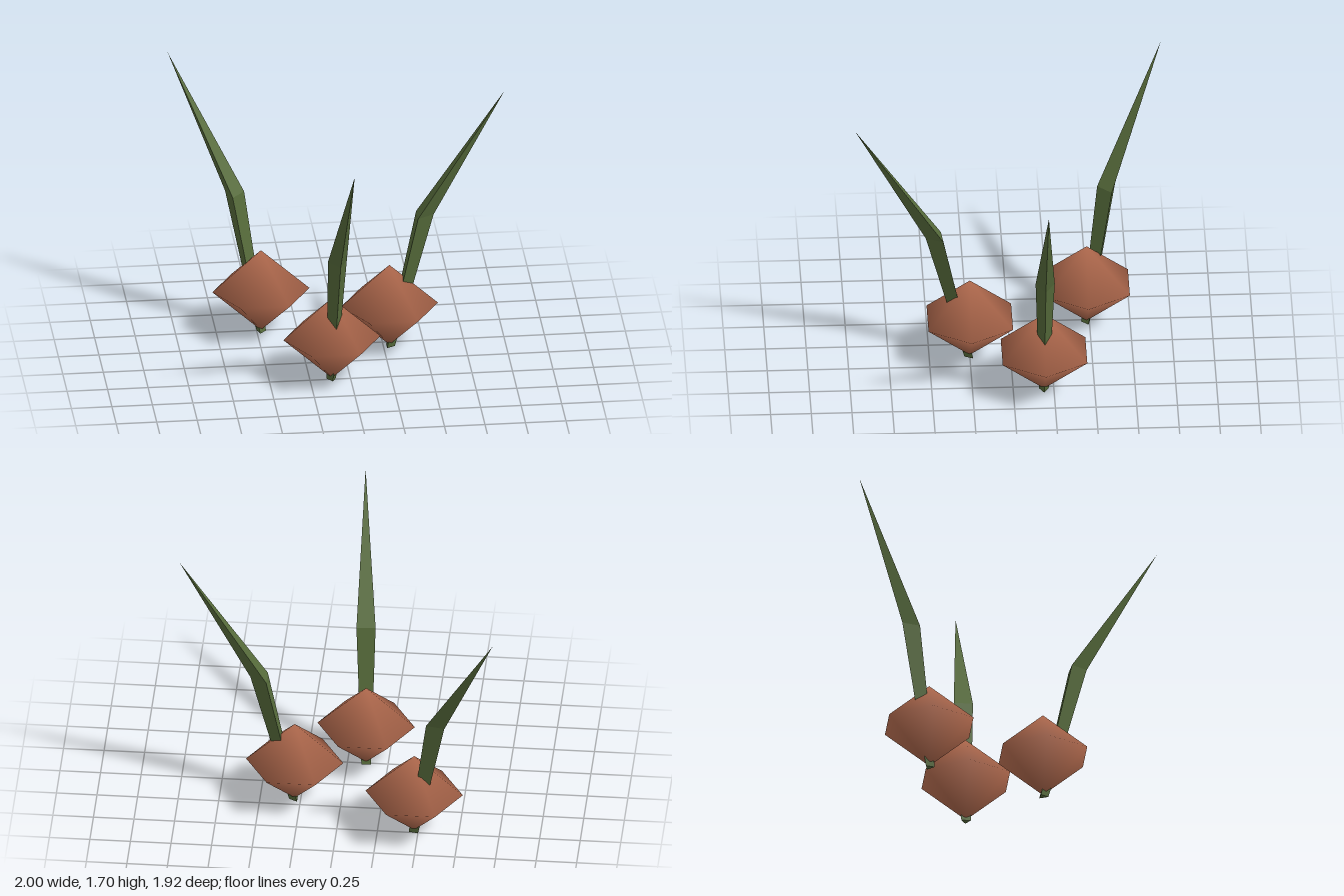
import * as THREE from 'three';

const bulbSkin = new THREE.MeshStandardMaterial({ color: 0xb0694d });
bulbSkin.name = 'bulb brown';
const leafGreen = new THREE.MeshStandardMaterial({ color: 0x566b3b, flatShading: true });
leafGreen.name = 'leaf green';

// Three-sided leaf: rises through the bulb, bends outward (+z) and ends in a point
function leafGeometry() {
  const rings = [
    { y: 0, out: 0, scale: 0.034 },
    { y: 0.88, out: 0.205, scale: 0.136 },
    { y: 1.695, out: 0.71, scale: 0 },
  ];
  const geo = new THREE.CylinderGeometry(0, 1, 2, 3, 2);
  const pos = geo.attributes.position;
  for (let i = 0; i < pos.count; i++) {
    const ring = rings[Math.round(pos.getY(i)) + 1];
    pos.setXYZ(i, pos.getX(i) * ring.scale, ring.y, pos.getZ(i) * ring.scale + ring.out);
  }
  geo.computeVertexNormals();
  return geo;
}

export function createModel() {
  const model = new THREE.Group();
  model.name = 'sproutingBulbs';

  // Six-sided smooth bulb with a point at top and bottom
  const bulbGeo = new THREE.SphereGeometry(0.3, 6, 2);
  bulbGeo.scale(1, 0.9, 1);
  const leafGeo = leafGeometry();

  // Position of each plant and the direction its leaf leans
  const plants = [
    { name: 'backPlant', x: -0.475, z: -0.483, lean: [-0.525, -0.478] },
    { name: 'leftPlant', x: 0.287, z: -0.189, lean: [1, 0] },
    { name: 'frontPlant', x: -0.115, z: 0.25, lean: [0.065, 0.705] },
  ];
  for (const { name, x, z, lean } of plants) {
    const plant = new THREE.Group();
    plant.name = name;
    plant.position.set(x, 0, z);

    const bulb = new THREE.Mesh(bulbGeo, bulbSkin);
    bulb.name = 'bulb';
    bulb.position.y = 0.28;

    const leaf = new THREE.Mesh(leafGeo, leafGreen);
    leaf.name = 'leaf';
    leaf.rotation.y = Math.atan2(lean[0], lean[1]);

    plant.add(bulb, leaf);
    model.add(plant);
  }
  return model;
}
